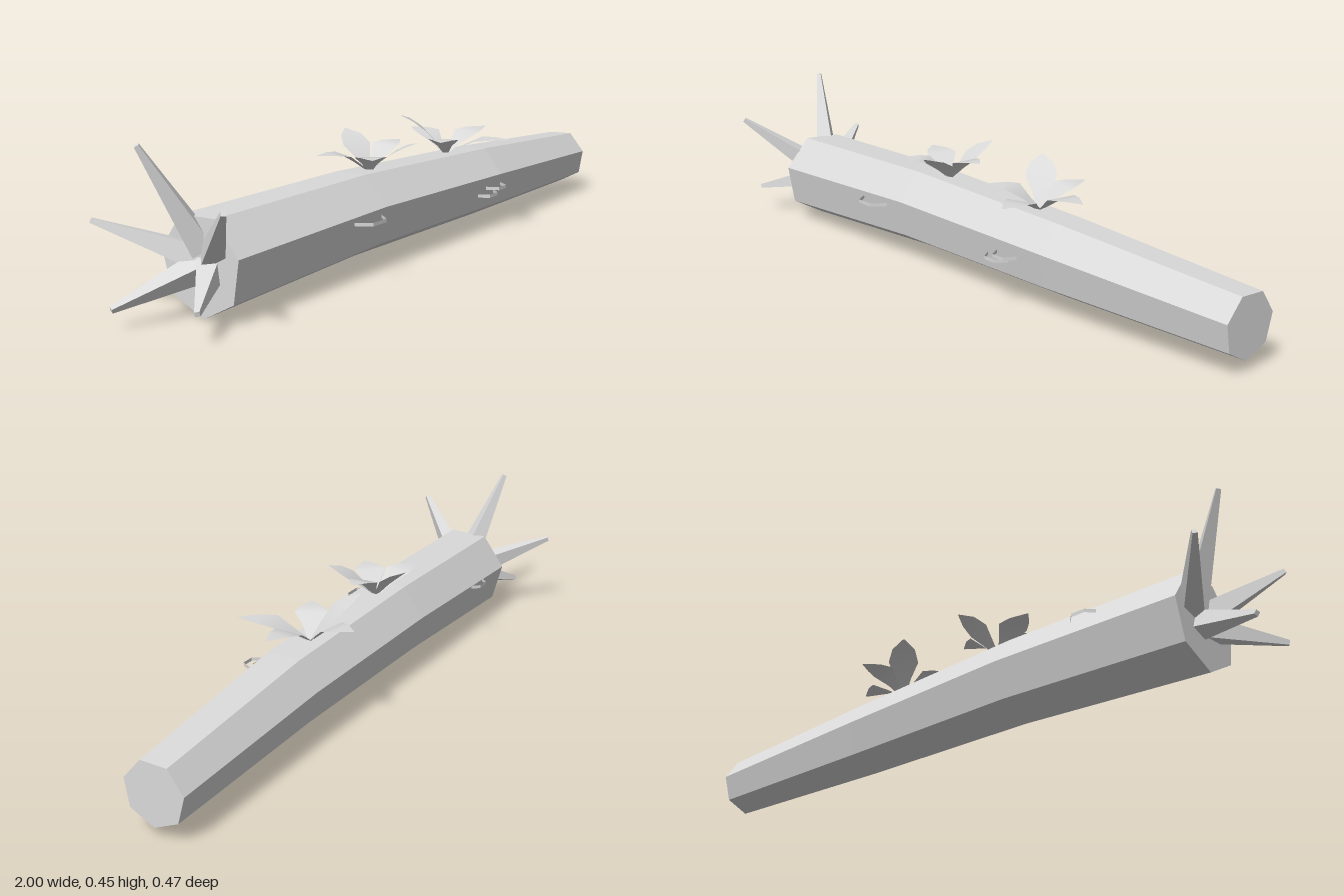
import * as THREE from 'three';

// Leaves and fungus rims are open surfaces, so both sides show
const grey = new THREE.MeshStandardMaterial({ color: 0xdadada, side: THREE.DoubleSide });
grey.name = 'paleGrey';

function addMesh(parent, name, geometry) {
  const mesh = new THREE.Mesh(geometry, grey);
  mesh.name = name;
  parent.add(mesh);
  return mesh;
}

// Per-face normals for a faceted look
function faceted(geometry) {
  const g = geometry.toNonIndexed();
  g.computeVertexNormals();
  return g;
}

function build(points, index) {
  const g = new THREE.BufferGeometry();
  g.setAttribute('position', new THREE.Float32BufferAttribute(points.flat(), 3));
  g.setIndex(index);
  g.computeVertexNormals();
  return g;
}

// Seven-sided trunk lofted through rings of [x, y, z, radius], capped at both ends
function trunk() {
  const rings = [[-0.797, 0.138, 0.013, 0.138], [-0.2, 0.153, 0.012, 0.126],
    [0.4, 0.143, 0.016, 0.113], [0.998, 0.12, -0.004, 0.09]];
  const sides = 7, points = [], index = [];
  for (const [x, y, z, r] of rings) {
    for (let i = 0; i < sides; i++) {
      const a = -1.52 + (i / sides) * Math.PI * 2;
      points.push([x, y + r * Math.sin(a), z + r * Math.cos(a)]);
    }
  }
  for (let k = 0; k < rings.length - 1; k++) {
    for (let i = 0; i < sides; i++) {
      const a = k * sides + i, b = k * sides + (i + 1) % sides;
      const c = a + sides, d = b + sides;
      index.push(a, c, b, b, c, d);
    }
  }
  const last = (rings.length - 1) * sides;
  for (let i = 1; i < sides - 1; i++) {
    index.push(0, i, i + 1, last, last + i + 1, last + i);
  }
  return faceted(build(points, index));
}

// Tapered four-sided root running between two points
function root(parent, from, to) {
  const a = new THREE.Vector3(...from), b = new THREE.Vector3(...to);
  const dir = b.clone().sub(a);
  const mesh = addMesh(parent, 'root', faceted(new THREE.CylinderGeometry(0.009, 0.043, dir.length(), 4)));
  mesh.position.copy(a).add(b).multiplyScalar(0.5);
  mesh.quaternion.setFromUnitVectors(new THREE.Vector3(0, 1, 0), dir.normalize());
}

// Pointed leaf that rises, then levels out; high leaves keep climbing to the tip
function leaf(parent, base, tip) {
  const dx = tip[0] - base[0], dz = tip[2] - base[2], len = Math.hypot(dx, dz);
  const steep = tip[1] > 0.34;
  const stations = steep
    ? [[0, 0, 0.007], [0.25, 0.36, 0.024], [0.5, 0.66, 0.045], [0.75, 0.87, 0.034], [1, 1, 0.002]]
    : [[0, 0, 0.007], [0.25, 0.5, 0.022], [0.5, 0.93, 0.046], [0.72, 1, 0.032], [1, 1, 0.002]];
  const points = [], index = [];
  stations.forEach(([t, h, w], i) => {
    for (const s of [-1, 1]) {
      points.push([base[0] + dx * t - (dz / len) * w * s,
        base[1] + (tip[1] - base[1]) * h,
        base[2] + dz * t + (dx / len) * w * s]);
    }
    if (i) {
      const k = 2 * i;
      index.push(k - 2, k - 1, k, k - 1, k + 1, k);
    }
  });
  addMesh(parent, 'leaf', build(points, index));
}

// Thin three-sided rim of a bracket fungus; side is +1 in front, -1 behind
function bracket(parent, x, y, z, width, depth, side) {
  const g = new THREE.CylinderGeometry(1, 1, 0.01, 3, 1, true, -Math.PI / 2, Math.PI);
  const mesh = addMesh(parent, 'bracketFungus', faceted(g));
  mesh.scale.set(width, 1, depth / Math.cos(Math.PI / 6));
  mesh.position.set(x, y, z);
  if (side < 0) mesh.rotation.y = Math.PI;
}

export function createModel() {
  const model = new THREE.Group();
  model.name = 'fallenLog';
  addMesh(model, 'trunk', trunk());

  // Roots fanning from the broken end
  const roots = new THREE.Group();
  roots.name = 'roots';
  model.add(roots);
  const tips = [[-0.915, 0.45, -0.068], [-0.925, 0.33, 0.228], [-0.93, 0.243, -0.232],
    [-0.95, 0.083, 0.158], [-0.997, 0.055, -0.09]];
  for (const [x, y, z] of tips) {
    root(roots, [-0.775, 0.14 + (y - 0.14) * 0.12, 0.01 + z * 0.12], [x, y, z]);
  }

  // Two leafy sprouts on top
  const sprouts = [
    { base: [-0.115, 0.255, 0.005], tips: [[-0.07, 0.362, -0.12], [-0.275, 0.32, -0.055],
      [-0.22, 0.317, 0.1], [-0.06, 0.345, 0.135], [0.023, 0.33, 0.01]] },
    { base: [0.27, 0.245, 0.003], tips: [[0.295, 0.31, -0.148], [0.17, 0.37, -0.1],
      [0.14, 0.308, 0.075], [0.335, 0.301, 0.2], [0.457, 0.308, 0.025]] },
  ];
  for (const { base, tips: leafTips } of sprouts) {
    const sprout = new THREE.Group();
    sprout.name = 'sprout';
    model.add(sprout);
    for (const t of leafTips) leaf(sprout, base, t);
  }

  // Bracket fungi on the flanks
  const fungi = new THREE.Group();
  fungi.name = 'fungi';
  model.add(fungi);
  bracket(fungi, -0.302, 0.173, 0.15, 0.058, 0.04, 1);
  bracket(fungi, 0.305, 0.157, 0.157, 0.04, 0.034, 1);
  bracket(fungi, 0.267, 0.14, 0.155, 0.042, 0.03, 1);
  bracket(fungi, -0.53, 0.188, -0.145, 0.042, 0.023, -1);
  return model;
}
